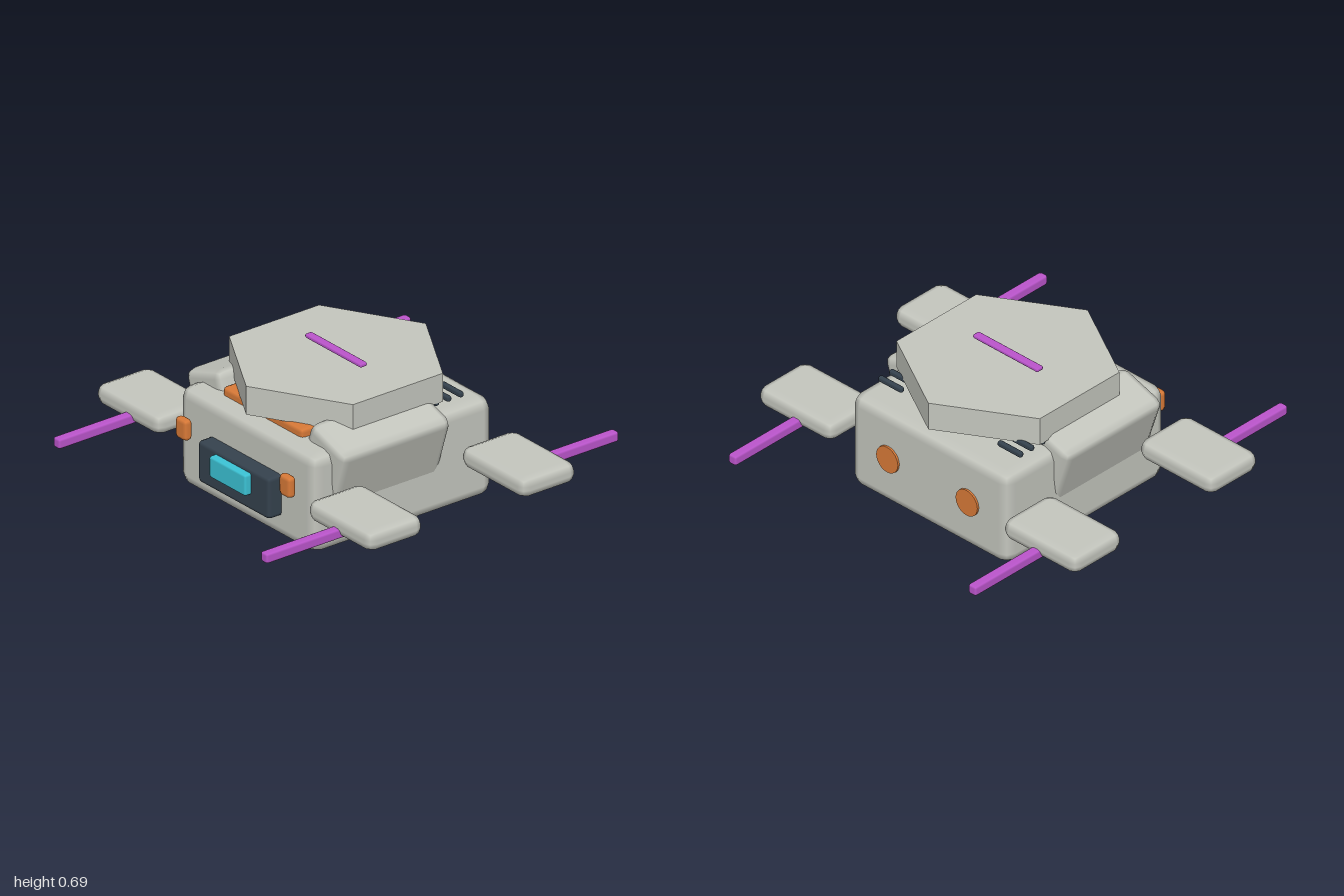
import * as THREE from 'three';
import { RoundedBoxGeometry } from 'three/addons/geometries/RoundedBoxGeometry.js';

const material = (name, color) => {
  const m = new THREE.MeshStandardMaterial({ color });
  m.name = name;
  return m;
};

export function createModel() {
  const grey = material('hullGrey', 0xc4c6be);
  const orange = material('orange', 0xd97a38);
  const dark = material('darkSlate', 0x35424e);
  const cyan = material('cyan', 0x3cc4d6);
  const purple = material('purple', 0xbb55cc);

  const model = new THREE.Group();
  model.name = 'hoverCraft';

  const add = (name, geometry, mat, x, y, z) => {
    const mesh = new THREE.Mesh(geometry, mat);
    mesh.name = name;
    mesh.position.set(x, y, z);
    model.add(mesh);
    return mesh;
  };
  // bevelled box given by its size and centre
  const box = (name, mat, [w, h, d], [x, y, z], bevel) =>
    add(name, new RoundedBoxGeometry(w, h, d, 1, bevel), mat, x, y, z);

  // hull and the deck under the roof
  box('hull', grey, [0.97, 0.485, 1.02], [0, 0.2425, 0], 0.055);
  box('deck', orange, [0.57, 0.085, 0.62], [0, 0.4825, 0.11], 0.02);

  // hexagonal roof with a corner at the front and its top bar
  const hex = new THREE.CylinderGeometry(0.51, 0.51, 0.14, 6).toNonIndexed();
  hex.computeVertexNormals();
  add('roof', hex, grey, 0, 0.59, 0);
  box('roofBar', purple, [0.4, 0.02, 0.04], [0, 0.685, 0], 0.008);

  // front screen
  box('screenFrame', dark, [0.51, 0.205, 0.09], [0, 0.2175, 0.54], 0.02);
  box('screen', cyan, [0.26, 0.105, 0.05], [0, 0.2475, 0.595], 0.012);

  for (const [side, s] of [['left', 1], ['right', -1]]) {
    // shoulder panel leaning outwards
    const shoulder = box(side + 'Shoulder', grey, [0.265, 0.4, 0.62], [s * 0.388, 0.345, 0.1], 0.04);
    shoulder.rotation.z = -s * 0.32;

    box(side + 'Headlight', orange, [0.08, 0.105, 0.045], [s * 0.37, 0.33, 0.57], 0.02);

    // round tail lamp
    const lamp = new THREE.CylinderGeometry(0.067, 0.067, 0.04, 24);
    add(side + 'TailLamp', lamp, orange, s * 0.245, 0.245, -0.5).rotation.x = Math.PI / 2;

    // vent bars over the rear deck
    for (let i = 0; i < 3; i++)
      box(side + 'Vent' + i, dark, [0.145, 0.027, 0.025], [s * 0.368, 0.518, -0.226 - i * 0.07], 0.009);

    // pads with rods, front and back
    for (const [end, e] of [['Front', 1], ['Back', -1]]) {
      box(side + end + 'Pad', grey, [0.455, 0.102, 0.31], [s * 0.755, 0.275, e * 0.435], 0.042);
      box(side + end + 'Rod', purple, [0.048, 0.05, 0.56], [s * 0.74, 0.244, e * 0.72], 0.012);
    }
  }
  return model;
}
